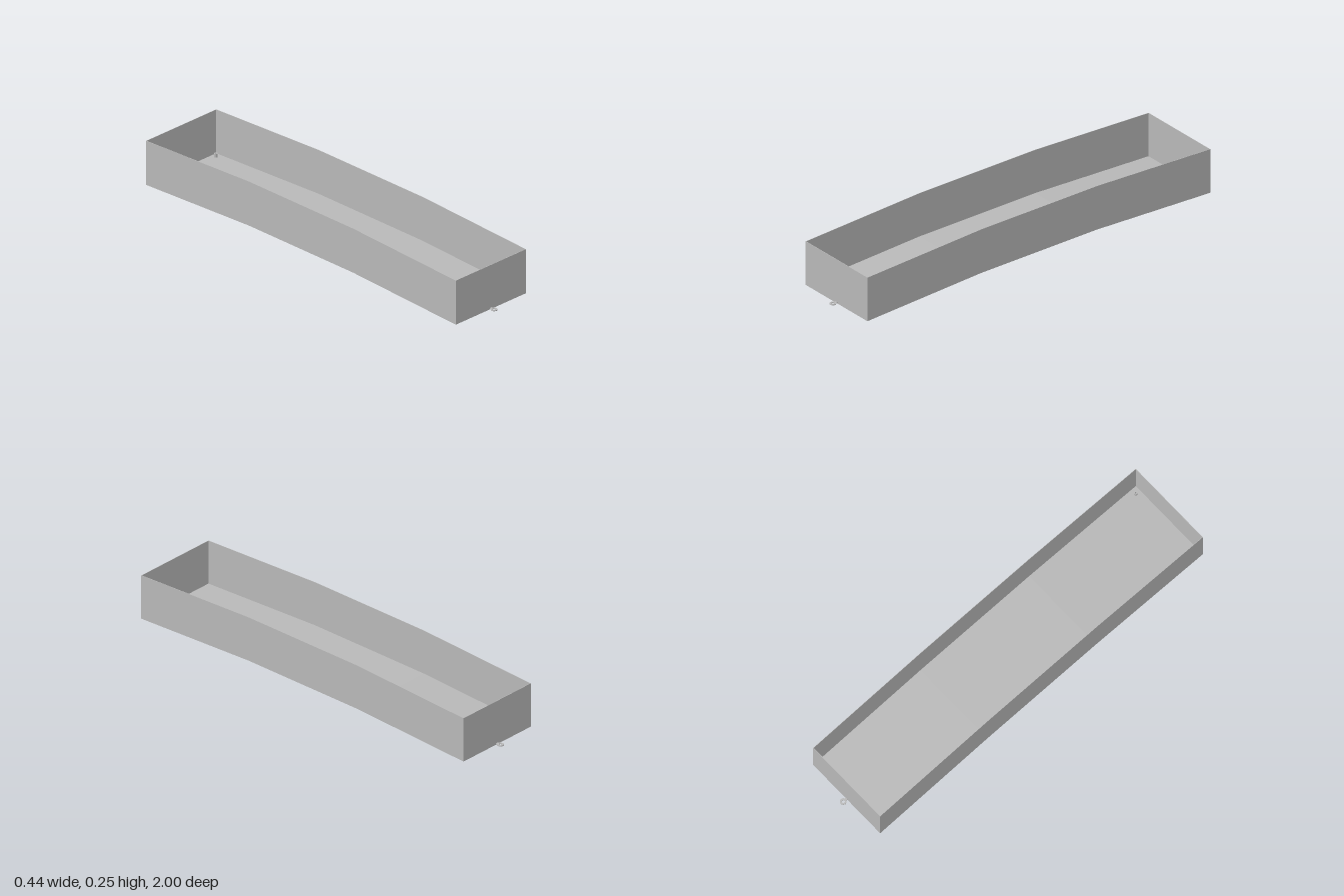
import * as THREE from 'three';

const HALF_W = 0.218, HALF_L = 0.965, BREAK = 0.325;
const RISE = 0.028, HEIGHT = 0.217, WALL = 0.002;

export function createModel() {
  const group = new THREE.Group();
  const grey = new THREE.MeshStandardMaterial({ color: 0xb8b8b8 });
  grey.name = 'plain grey';

  const add = (name, geometry, x = 0, y = 0, z = 0) => {
    const mesh = new THREE.Mesh(geometry, grey);
    mesh.name = name;
    mesh.position.set(x, y, z);
    group.add(mesh);
    return mesh;
  };

  // Strip following the arched base line in the z-y plane, extruded across x
  const archedStrip = (height, width) => {
    const base = [[-HALF_L, 0], [-BREAK, RISE], [BREAK, RISE], [HALF_L, 0]];
    const top = base.map(([z, y]) => [z, y + height]).reverse();
    const shape = new THREE.Shape([...base, ...top].map(([z, y]) => new THREE.Vector2(z, y)));
    return new THREE.ExtrudeGeometry(shape, { depth: width, bevelEnabled: false })
      .translate(0, 0, -width / 2)
      .rotateY(-Math.PI / 2);
  };

  // Flat ring lying in the x-z plane, base at y = 0
  const ring = (outer, inner, height) => {
    const shape = new THREE.Shape().absarc(0, 0, outer, 0, Math.PI * 2, false);
    shape.holes.push(new THREE.Path().absarc(0, 0, inner, 0, Math.PI * 2, true));
    return new THREE.ExtrudeGeometry(shape, { depth: height, bevelEnabled: false, curveSegments: 20 })
      .rotateX(-Math.PI / 2);
  };

  // Tray floor and long side walls
  add('floor', archedStrip(WALL, 2 * HALF_W - 2 * WALL));
  for (const [side, s] of [['left', 1], ['right', -1]]) {
    add(side + 'Wall', archedStrip(HEIGHT, WALL), s * (HALF_W - WALL / 2));
  }

  // End walls, coupling eyes and inner pegs
  for (const [end, s] of [['front', 1], ['back', -1]]) {
    add(end + 'Wall', new THREE.BoxGeometry(2 * HALF_W - 2 * WALL, HEIGHT, WALL),
      0, HEIGHT / 2, s * (HALF_L - WALL / 2));
    add(end + 'CouplingEye', ring(0.015, 0.007, 0.004), 0, 0.003, s * 0.985);
    add(end + 'CouplingStem', new THREE.BoxGeometry(0.012, 0.004, 0.011), 0, 0.005, s * 0.9705);
    add(end + 'Peg', ring(0.008, 0.004, 0.019), 0.188, 0.002, s * 0.937);
  }

  return group;
}
